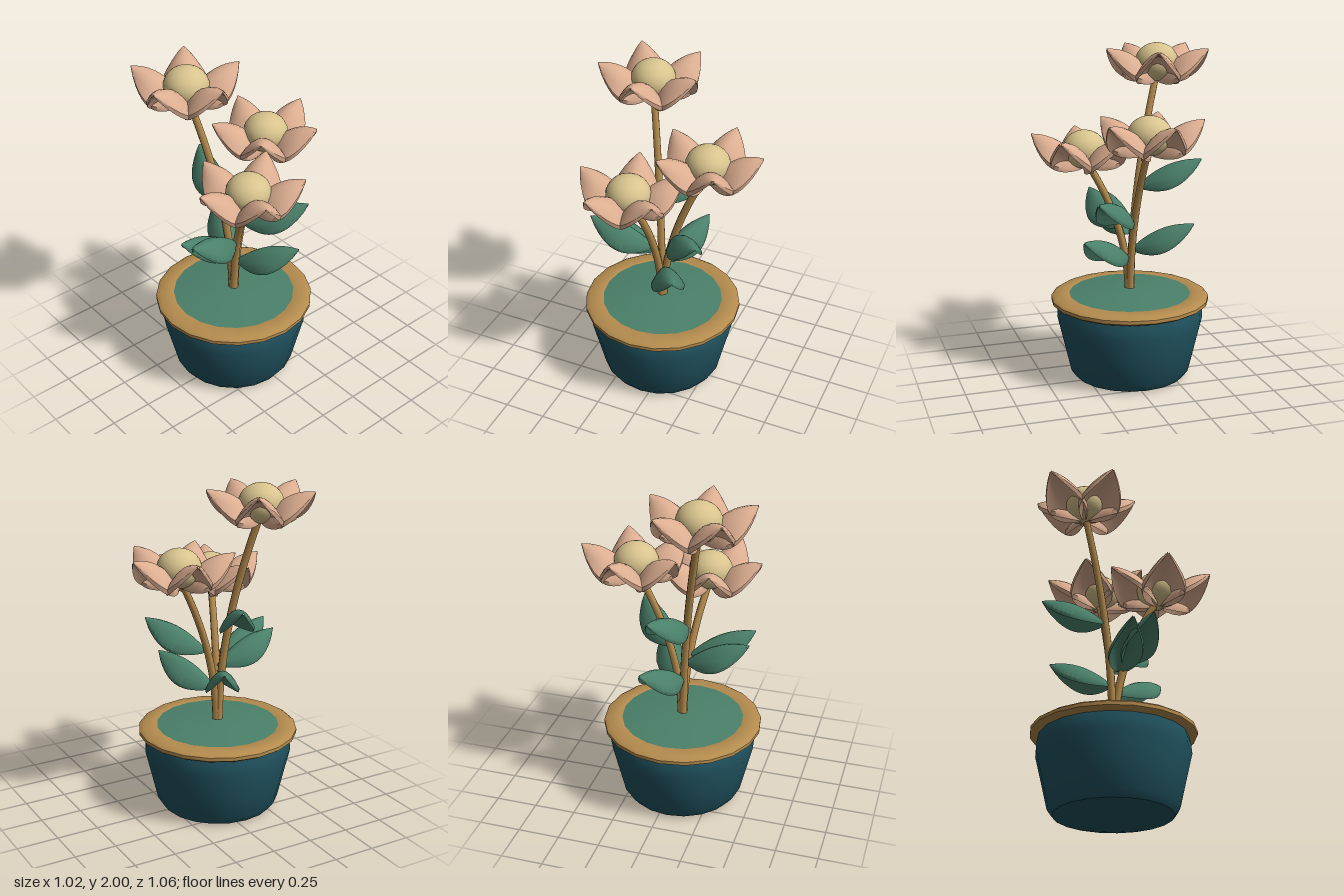
import * as THREE from 'three';
import { toCreasedNormals } from 'three/addons/utils/BufferGeometryUtils.js';

const mat = (name, color) => {
  const m = new THREE.MeshStandardMaterial({ color });
  m.name = name;
  return m;
};

// Thick arched blade along +x: the ridge rises early, the drooping side edges rise late to the tip
function bladeGeometry(length, halfWidth, height, thickness) {
  const rows = 14, cols = 8, ring = 2 * (cols + 1);
  const pos = [], index = [];
  for (let i = 0; i <= rows; i++) {
    const s = i / rows;
    const ridge = height * (1 - (1 - s) ** 2.3);
    const edge = height * s ** 3;
    const body = Math.max(Math.sin(Math.PI * s ** 1.1), 0);
    const w = 0.003 + halfWidth * body ** 0.85;
    const t = thickness * (0.3 + 0.7 * body ** 0.4);
    for (let j = 0; j < ring; j++) {
      const top = j <= cols;
      const u = ((top ? j : ring - 1 - j) / cols) * 2 - 1;
      const y = edge + (ridge - edge) * (1 - u * u);
      pos.push(length * s, top ? y : y - t, w * u * (top ? 1 : 0.94));
    }
  }
  for (let i = 0; i < rows; i++) {
    for (let j = 0; j < ring; j++) {
      const a = i * ring + j, b = i * ring + ((j + 1) % ring);
      index.push(a, b, a + ring, b, b + ring, a + ring);
    }
  }
  const geo = new THREE.BufferGeometry();
  geo.setAttribute('position', new THREE.Float32BufferAttribute(pos, 3));
  geo.setIndex(index);
  return toCreasedNormals(geo, 0.8);
}

// Tapered tube along a curve
function stemGeometry(curve, r0, r1) {
  const segs = 20, sides = 8;
  const geo = new THREE.TubeGeometry(curve, segs, 1, sides, false);
  const p = geo.attributes.position, v = new THREE.Vector3();
  for (let i = 0; i < p.count; i++) {
    const t = Math.floor(i / (sides + 1)) / segs;
    const c = curve.getPointAt(t);
    v.fromBufferAttribute(p, i).sub(c).multiplyScalar(r0 + (r1 - r0) * t).add(c);
    p.setXYZ(i, v.x, v.y, v.z);
  }
  return geo;
}

export function createModel() {
  const model = new THREE.Group();
  model.name = 'pottedFlowers';
  const teal = mat('pot teal', 0x20525f);
  const gold = mat('golden brown', 0xb58c4e);
  const green = mat('leaf green', 0x4a806a);
  const pink = mat('petal pink', 0xdcae91);
  const cream = mat('flower centre cream', 0xd9c48e);
  const cx = -0.03, cz = 0.05;

  const add = (parent, name, geo, material, x = 0, y = 0, z = 0) => {
    const mesh = new THREE.Mesh(geo, material);
    mesh.name = name;
    mesh.position.set(x, y, z);
    parent.add(mesh);
    return mesh;
  };
  const lathe = (pts) =>
    toCreasedNormals(new THREE.LatheGeometry(pts.map(([r, y]) => new THREE.Vector2(r, y)), 20), 0.75);

  // Pot, rim and planting surface
  add(model, 'pot', lathe([[0, 0], [0.29, 0], [0.34, 0.008], [0.37, 0.05], [0.405, 0.2],
    [0.443, 0.36], [0.438, 0.42], [0.425, 0.47]]), teal, cx, 0, cz);
  add(model, 'potRim', lathe([[0.42, 0.46], [0.455, 0.46], [0.477, 0.474], [0.477, 0.495],
    [0.455, 0.51], [0.37, 0.516], [0.34, 0.5]]), gold, cx, 0, cz);
  add(model, 'soil', lathe([[0.375, 0.514], [0.25, 0.53], [0.1, 0.543], [0, 0.546]]), green, cx, 0, cz);

  const petalGeo = bladeGeometry(0.315, 0.13, 0.187, 0.028);
  const leafGeo = bladeGeometry(0.39, 0.097, 0.17, 0.022);
  const centreGeo = new THREE.SphereGeometry(0.13, 20, 14);

  // Flowers: x, base height, z and turn of the first petal in degrees
  const flowers = [
    { x: -0.247, y: 1.785, z: 0.2, turn: -1, bend: 1.13 },
    { x: -0.06, y: 1.422, z: -0.22, turn: 45.5, bend: 0.98 },
    { x: 0.22, y: 1.294, z: 0.145, turn: 23, bend: 0.94 },
  ];
  for (const f of flowers) {
    const dir = new THREE.Vector2(f.x - cx, f.z - cz).normalize().multiplyScalar(0.008);
    const curve = new THREE.QuadraticBezierCurve3(
      new THREE.Vector3(cx + dir.x, 0.52, cz + dir.y),
      new THREE.Vector3(cx + dir.x, f.bend, cz + dir.y),
      new THREE.Vector3(f.x, f.y + 0.04, f.z));
    add(model, 'stem', stemGeometry(curve, 0.025, 0.021), gold);

    const flower = new THREE.Group();
    flower.name = 'flower';
    flower.position.set(f.x, f.y, f.z);
    model.add(flower);
    for (let i = 0; i < 5; i++) {
      const petal = add(flower, 'petal', petalGeo, pink);
      petal.rotation.y = -THREE.MathUtils.degToRad(f.turn + i * 72);
    }
    add(flower, 'flowerCentre', centreGeo, cream, 0, 0.1, 0).scale.y = 0.88;
  }

  // Leaves: tip x, tip height, tip z, then x and z of the stem they leave
  const leaves = [
    [-0.45, 1.33, -0.035, -0.09, 0.1],
    [-0.38, 0.955, -0.11, -0.04, 0.06],
    [0.26, 1.155, -0.28, -0.025, -0.02],
    [0.315, 0.912, -0.165, -0.02, 0.04],
    [0.105, 1.09, 0.455, 0.025, 0.075],
    [-0.015, 1.05, 0.445, -0.01, 0.06],
  ];
  for (const [tx, ty, tz, bx, bz] of leaves) {
    const leaf = add(model, 'leaf', leafGeo, green, bx, ty - 0.17, bz);
    leaf.rotation.y = -Math.atan2(tz - bz, tx - bx);
    leaf.scale.x = Math.hypot(tx - bx, tz - bz) / 0.39;
  }
  return model;
}
